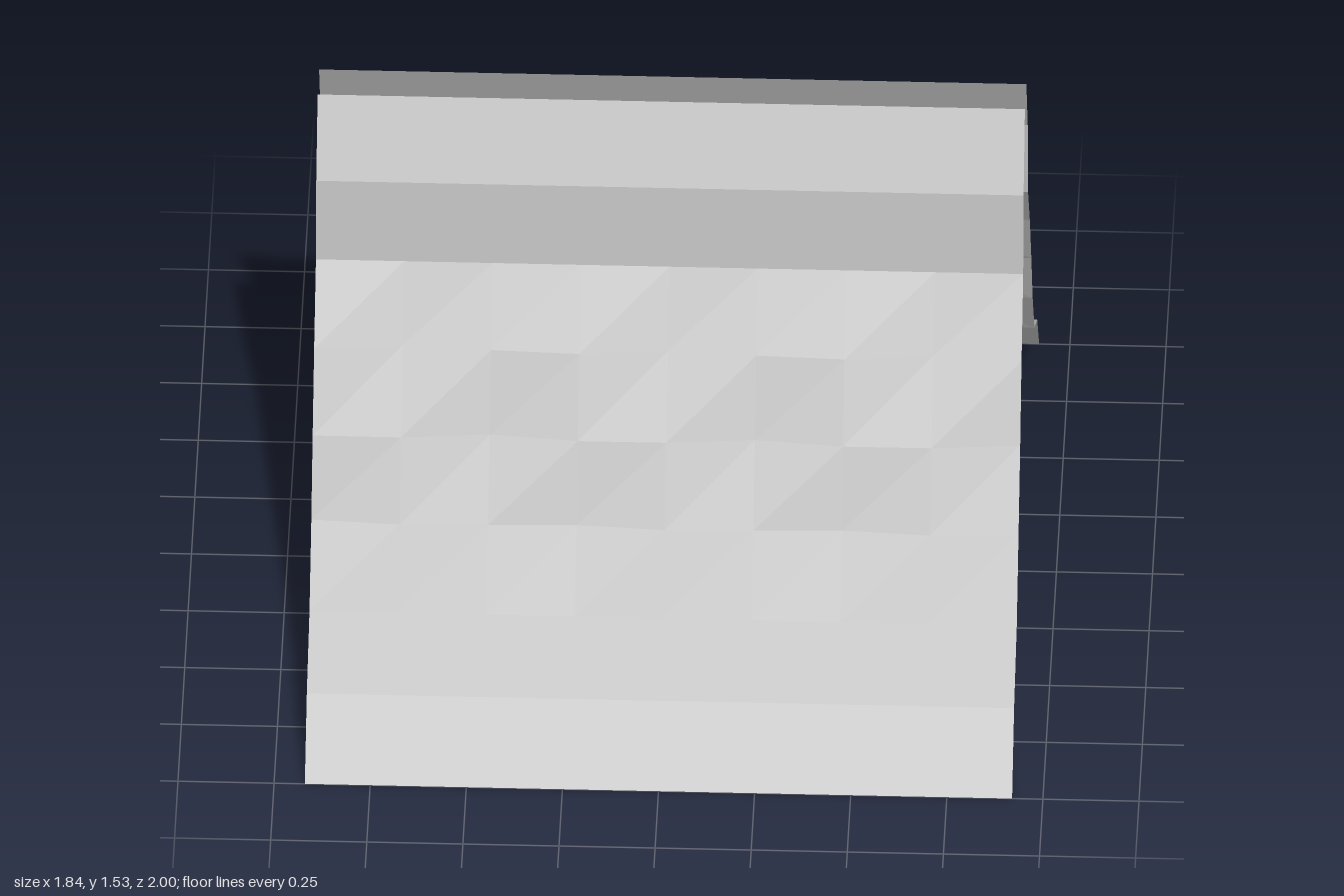
import * as THREE from 'three';

// Cross-section of one sheet from foot to top: [z, y, depth of the dents]
const PROFILE = [
  [1, 0, 0], [0.855, 0.185, 0], [0.655, 0.305, 0],
  [0.527, 0.5, 0.008], [0.416, 0.7, 0.014], [0.302, 0.9, 0.014],
  [0.18, 1.09, 0], [0.155, 1.325, 0], [0.055, 1.53, 0],
];
const COLUMNS = 8;
const HALF_WIDTH = 0.92;

// Grid of quads following the profile, gently dented in the middle rows
function sheetGeometry() {
  const geometry = new THREE.PlaneGeometry(2 * HALF_WIDTH, 1, COLUMNS, PROFILE.length - 1);
  const position = geometry.attributes.position;
  for (let i = 0; i < position.count; i++) {
    const column = i % (COLUMNS + 1);
    const row = PROFILE.length - 1 - Math.floor(i / (COLUMNS + 1));
    const [z, y, dent] = PROFILE[row];
    position.setY(i, y);
    position.setZ(i, z + dent * Math.sin(column * 2.1 + row * 1.7));
  }
  geometry.computeVertexNormals();
  return geometry;
}

export function createModel() {
  const model = new THREE.Group();
  model.name = 'foldedSheets';

  const grey = new THREE.MeshStandardMaterial({
    color: 0xc0c0c0, flatShading: true, side: THREE.DoubleSide,
  });
  grey.name = 'grey';

  // Two matching sheets leaning towards each other
  const geometry = sheetGeometry();
  ['frontSheet', 'backSheet'].forEach((name, i) => {
    const sheet = new THREE.Mesh(geometry, grey);
    sheet.name = name;
    sheet.rotation.y = i * Math.PI;
    model.add(sheet);
  });
  return model;
}
